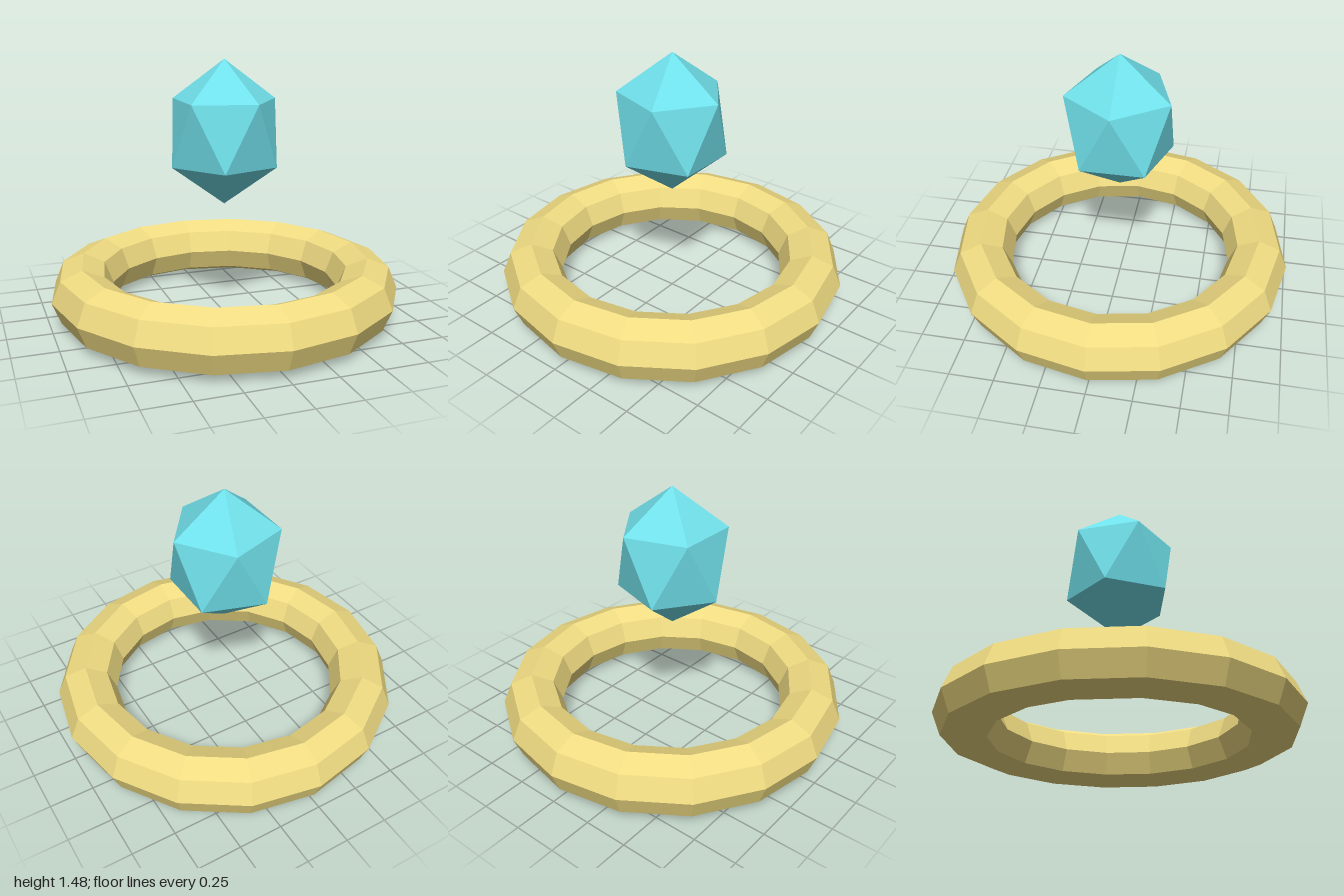
import * as THREE from 'three';

function addPart(group, name, geometry, color, y) {
  const material = new THREE.MeshStandardMaterial({ color, flatShading: true });
  const mesh = new THREE.Mesh(geometry, material);
  mesh.name = name;
  mesh.position.y = y;
  group.add(mesh);
}

export function createModel() {
  const model = new THREE.Group();
  model.name = 'floatingGemRing';

  // Low-poly ring lying flat on the ground
  const tube = 0.173;
  const ring = new THREE.TorusGeometry(1 - tube, tube, 8, 16);
  ring.rotateX(Math.PI / 2);
  addPart(model, 'ring', ring, 0xf0dc82, tube);

  // Stretched icosahedron gem, turned to stand on one corner
  const gem = new THREE.IcosahedronGeometry(0.342, 0);
  gem.rotateZ(-Math.atan(2 / (1 + Math.sqrt(5))));
  gem.scale(1, 1.2, 1);
  addPart(model, 'gem', gem, 0x70e0ea, 1.07);

  return model;
}
